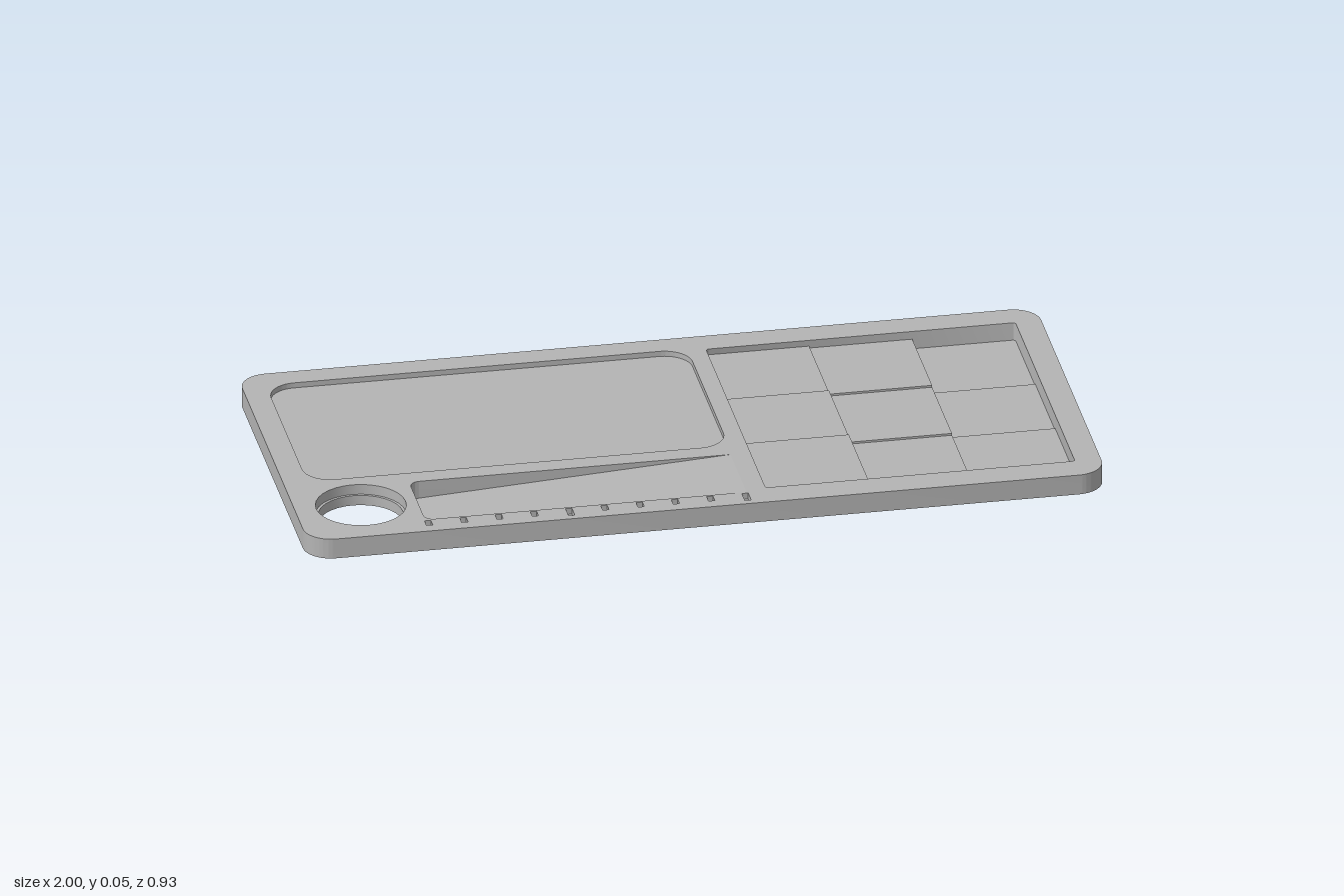
import * as THREE from 'three';
import { toCreasedNormals } from 'three/addons/utils/BufferGeometryUtils.js';

const H = 0.053;          // tray thickness
const STEP = H / 10;      // depth unit of the stepped compartments

// Rounded rectangle in plan; rl and rr are the radii of the left and right corners
function plan(x0, x1, z0, z1, rl = 0, rr = rl, Type = THREE.Shape) {
  const s = new Type(), b = -z1, t = -z0;
  s.moveTo(x0 + rl, b);
  s.lineTo(x1 - rr, b);
  if (rr) s.absarc(x1 - rr, b + rr, rr, -Math.PI / 2, 0);
  s.lineTo(x1, t - rr);
  if (rr) s.absarc(x1 - rr, t - rr, rr, 0, Math.PI / 2);
  s.lineTo(x0 + rl, t);
  if (rl) s.absarc(x0 + rl, t - rl, rl, Math.PI / 2, Math.PI);
  s.lineTo(x0, b + rl);
  if (rl) s.absarc(x0 + rl, b + rl, rl, Math.PI, Math.PI * 1.5);
  return s;
}

function circle(x, z, r, Type = THREE.Path) {
  return new Type().absarc(x, -z, r, 0, Math.PI * 2);
}

export function createModel() {
  const tray = new THREE.Group();
  tray.name = 'deskTray';
  const grey = new THREE.MeshStandardMaterial({ color: 0xb4b4b4 });
  grey.name = 'grey';

  // Raise a plan shape from the ground to the given height
  function slab(name, shape, height, reshape) {
    const g = new THREE.ExtrudeGeometry(shape, { depth: height, bevelEnabled: false, curveSegments: 16 });
    g.rotateX(-Math.PI / 2);
    if (reshape) reshape(g.attributes.position);
    g.computeVertexNormals();
    const m = new THREE.Mesh(toCreasedNormals(g, 0.6), grey);
    m.name = name;
    tray.add(m);
  }

  // Openings: large pocket, pen groove, compartment square and cup hole
  const pocket = [-0.94, 0.115, -0.4, 0.14, 0.07];
  const groove = [-0.695, 0.11, 0.19, 0.4, 0.025, 0];
  const square = [0.16, 0.935, -0.39, 0.385, 0.008];
  const cup = [-0.835, 0.29];

  // Ruler ticks along the front, every fifth one longer
  const ticks = [];
  for (let i = 0; i < 10; i++) {
    const x = -0.69 + i * 0.0883;
    ticks.push([x - 0.008, x + 0.008, 0.406, i % 5 === 4 ? 0.445 : 0.431]);
  }

  // Body with every opening cut through
  const body = plan(-1, 1, -0.463, 0.463, 0.07);
  for (const p of [pocket, groove, square]) {
    body.holes.push(plan(p[0], p[1], p[2], p[3], p[4], p[5], THREE.Path));
  }
  for (const t of ticks) body.holes.push(plan(...t, 0, 0, THREE.Path));
  body.holes.push(circle(...cup, 0.112));
  slab('trayBody', body, H);

  // Floors of the pocket and ticks
  slab('pocketFloor', plan(...pocket), H - 0.014);
  for (const t of ticks) slab('tickFloor', plan(...t), H - 0.016);

  // Pen groove floor, sloping up to the surface at its right end
  slab('grooveRamp', plan(...groove), H, (pos) => {
    for (let i = 0; i < pos.count; i++) {
      if (pos.getY(i) < H / 2) continue;
      const k = (groove[1] - pos.getX(i)) / (groove[1] - groove[0]);
      pos.setY(i, H - k * 9 * STEP);
    }
  });

  // Nine compartments, one step deeper each along a winding path
  const size = (square[1] - square[0]) / 3;
  for (let n = 0; n < 9; n++) {
    const col = Math.floor(n / 3);
    const row = col % 2 ? n % 3 : 2 - (n % 3);
    const x = square[0] + col * size, z = square[2] + row * size;
    slab('compartmentFloor', plan(x, x + size, z, z + size), H - (n + 1) * STEP);
  }

  // Narrow ledge inside the cup hole
  const ledge = circle(...cup, 0.112, THREE.Shape);
  ledge.holes.push(circle(...cup, 0.105));
  slab('cupLedge', ledge, H / 2);

  return tray;
}
